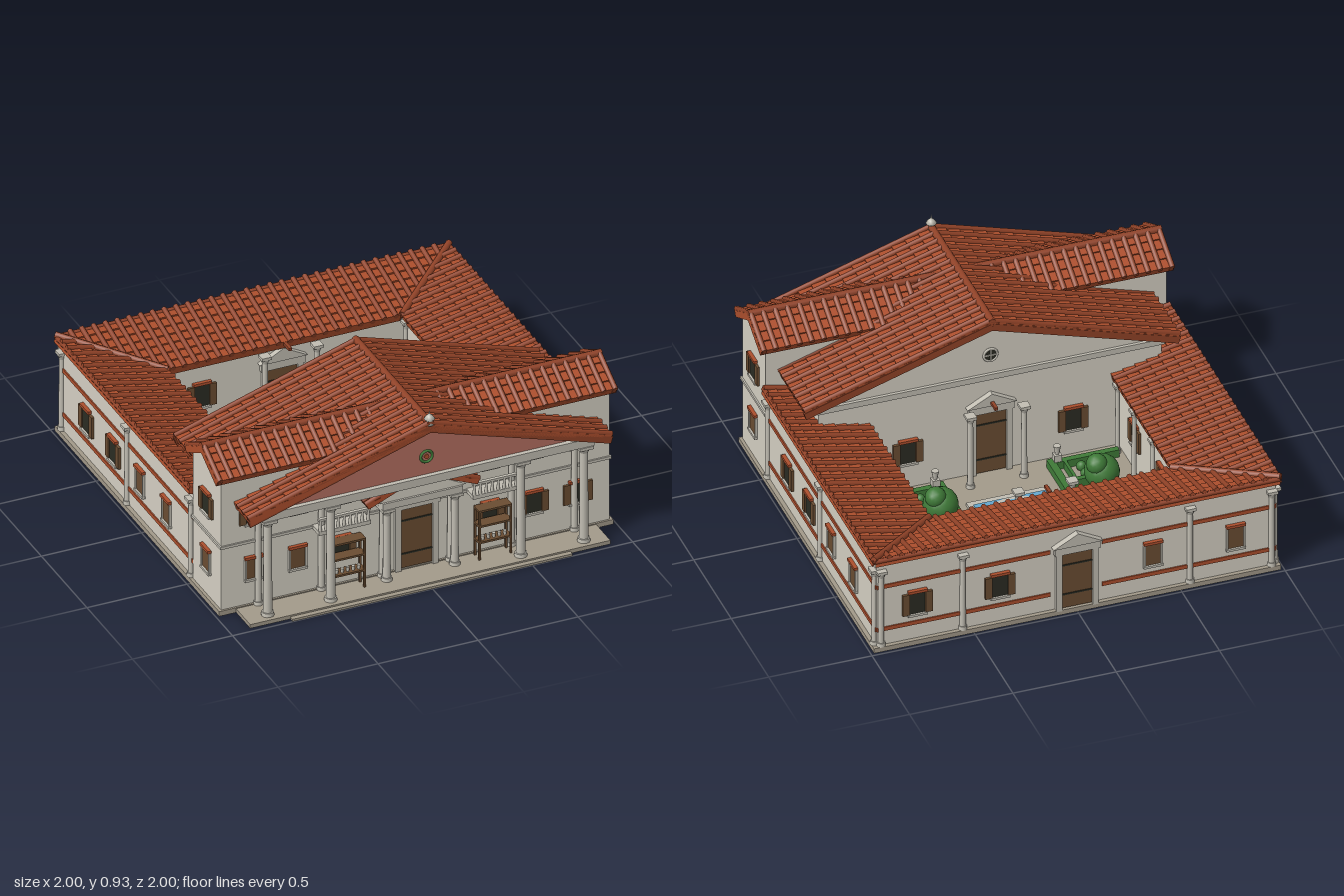
import * as THREE from 'three';

const mat = (name, color, side = THREE.FrontSide) => {
  const m = new THREE.MeshStandardMaterial({ color, side });
  m.name = name;
  return m;
};
const wall = mat('limewash', 0xd6d1c4), stone = mat('stone', 0xc2beb3), paving = mat('paving', 0xa39a8a);
const tile = mat('roof tile', 0xad4f2d), tileDark = mat('cover tile', 0x924328), plaster = mat('red plaster', 0xb57062);
const wood = mat('wood', 0x6b4d32), dark = mat('dark opening', 0x2b2c23), green = mat('greenery', 0x3f7a38), water = mat('water', 0x66a8cf);

function add(parent, name, geo, material, x = 0, y = 0, z = 0) {
  const m = new THREE.Mesh(geo, material);
  m.name = name;
  m.position.set(x, y, z);
  parent.add(m);
  return m;
}
// Box given by its extents on each axis
const box = (p, name, m, x0, x1, y0, y1, z0, z1) =>
  add(p, name, new THREE.BoxGeometry(x1 - x0, y1 - y0, z1 - z0), m, (x0 + x1) / 2, (y0 + y1) / 2, (z0 + z1) / 2);
// Polygon in x, y extruded along z from z0 to z1
function prism(pts, z0, z1) {
  const s = new THREE.Shape(pts.map(p => new THREE.Vector2(...p)));
  return new THREE.ExtrudeGeometry(s, { depth: z1 - z0, bevelEnabled: false }).translate(0, 0, z0);
}
function rod(p, name, m, a, b, r) {
  const A = new THREE.Vector3(...a), B = new THREE.Vector3(...b), d = B.clone().sub(A);
  const o = add(p, name, new THREE.CylinderGeometry(r, r, d.length(), 8), m);
  o.position.copy(A).add(B).multiplyScalar(0.5);
  o.quaternion.setFromUnitVectors(new THREE.Vector3(0, 1, 0), d.normalize());
}
function group(p, name, x = 0, y = 0, z = 0, ry = 0) {
  const g = new THREE.Group();
  g.name = name;
  g.position.set(x, y, z);
  g.rotation.y = ry;
  p.add(g);
  return g;
}

// Tiled slope: top = middle of the upper edge, fall = vector down the slope; mA and mB mitre the ends
function slope(p, name, top, fall, L, mA = 0, mB = 0, courses = 7, thick = 0.03) {
  const v = new THREE.Vector3(...fall), S = v.length();
  const Z = v.clone().normalize(), X = new THREE.Vector3(0, 1, 0).cross(Z).normalize(), Y = Z.clone().cross(X);
  const g = group(p, name);
  g.quaternion.setFromRotationMatrix(new THREE.Matrix4().makeBasis(X, Y, Z));
  g.position.set(...top);
  const pts = [[0, -thick]];
  pts.push([S, -thick]);
  for (let i = courses; i > 0; i--) pts.push([S * i / courses, 0.009], [S * (i - 1) / courses + 0.0005, 0]);
  const geo = prism(pts, 0, L).rotateY(-Math.PI / 2).translate(L / 2, 0, 0);
  const a = geo.attributes.position;
  for (let i = 0; i < a.count; i++) {
    const x = a.getX(i), k = a.getZ(i) / S;
    a.setX(i, x < 0 ? x + mA * k : x - mB * k);
  }
  geo.computeVertexNormals();
  add(g, 'tile courses', geo, tile);
  const n = Math.round(L / 0.059);
  for (let i = 0; i <= n; i++) {
    const u = -L / 2 + 0.012 + (L - 0.024) * i / n;
    const len = S * Math.min(1, mA ? (u + L / 2) / mA : 1, mB ? (L / 2 - u) / mB : 1);
    if (len > 0.02) add(g, 'cover tile', new THREE.CylinderGeometry(0.013, 0.013, len + 0.006, 7).rotateX(Math.PI / 2), tileDark, u, 0.007, len / 2);
  }
}

function column(p, x, z, y0, y1, r) {
  const g = group(p, 'column', x, 0, z), h = y1 - y0;
  add(g, 'shaft', new THREE.CylinderGeometry(r * 0.85, r, h, 12), stone, 0, (y0 + y1) / 2, 0);
  add(g, 'base', new THREE.CylinderGeometry(r * 1.3, r * 1.4, 0.02, 12), stone, 0, y0 + 0.01, 0);
  add(g, 'capital', new THREE.CylinderGeometry(r * 1.5, r * 0.9, 0.025, 12), stone, 0, y1 - 0.027, 0);
  box(g, 'abacus', stone, -r * 1.6, r * 1.6, y1 - 0.015, y1, -r * 1.6, r * 1.6);
}

// Window on a wall facing local +z; open ones have a dark recess and shutters
function windowAt(p, x, y, z, ry, open, h = 0.115) {
  const g = group(p, 'window', x, y, z, ry);
  box(g, 'pane', open ? dark : wood, -0.037, 0.037, 0, h, -0.004, 0.004);
  box(g, 'sill', stone, -0.047, 0.047, -0.012, 0, -0.004, 0.014);
  box(g, 'lintel', tile, -0.046, 0.046, h, h + 0.014, -0.004, 0.016);
  for (const s of [-1, 1]) {
    const c = s * (open ? 0.055 : 0.041), w = open ? 0.017 : 0.004;
    box(g, open ? 'shutter' : 'jamb', open ? wood : stone, c - w, c + w, -0.002, h - 0.004, -0.004, 0.01);
  }
}

function doorAt(p, x, z, ry, w, h, roofed) {
  const g = group(p, 'door', x, 0, z, ry);
  box(g, 'door leaf', wood, -w, w, 0.03, h, -0.01, 0.008);
  for (const y of [0.1, h - 0.07]) box(g, 'iron band', dark, -w, w, y, y + 0.008, 0, 0.011);
  for (const s of [-1, 1]) box(g, 'door jamb', stone, s * (w + 0.013) - 0.014, s * (w + 0.013) + 0.014, 0.02, h + 0.02, -0.01, 0.018);
  box(g, 'door lintel', stone, -w - 0.035, w + 0.035, h, h + 0.04, -0.01, 0.022);
  if (roofed) add(g, 'door pediment', prism([[-w - 0.045, 0], [w + 0.045, 0], [0, 0.065]], -0.01, 0.028), stone, 0, h + 0.04, 0);
}

export function createModel() {
  const root = new THREE.Group();
  root.name = 'courtyard villa';
  const PI = Math.PI, sides = [-1, 1];

  // Base, porch floor and step
  box(root, 'base', paving, -0.985, 0.985, 0, 0.025, -0.985, 0.82);
  box(root, 'porch floor', paving, -0.9, 0.9, 0, 0.02, 0.82, 0.975);
  box(root, 'front step', paving, -0.7, 0.7, 0, 0.012, 0.97, 1);

  // Low wings round the courtyard
  const wing = a => [[a, 0], [0.965, 0], [0.965, 0.47], [a, 0.385]];
  add(root, 'right wing', prism(wing(0.62), -0.965, 0.5), wall);
  add(root, 'left wing', prism(wing(0.62).map(([x, y]) => [-x, y]), -0.965, 0.5), wall);
  add(root, 'back wing', prism(wing(0.66), -0.965, 0.965).rotateY(PI / 2), wall);
  for (const s of sides) {
    slope(root, 'side wing roof', [s * 0.985, 0.505, -0.24], [-s * 0.4, -0.09, 0], 1.48, s > 0 ? 0.36 : 0, s < 0 ? 0.36 : 0);
    rod(root, 'valley tiles', tileDark, [s * 0.985, 0.512, -0.98], [s * 0.585, 0.425, -0.62], 0.016);
    rod(root, 'eave roll', tileDark, [s * 0.98, 0.5, -0.98], [s * 0.98, 0.5, 0.5], 0.012);
    // Stripes, pilasters and windows along the side
    for (const y of [0.102, 0.335]) box(root, 'side stripe', tile, s * 0.967 - 0.004, s * 0.967 + 0.004, y, y + 0.02, -0.965, 0.5);
    for (const z of [0.475, -0.225, -0.945]) column(root, s * 0.968, z, 0.025, 0.44, 0.015);
    [0.21, -0.08, -0.375, -0.67].forEach((z, i) => windowAt(root, s * 0.968, 0.165, z, s * PI / 2, s > 0 ? i < 2 : i > 1));
    for (const z of [-0.42, -0.05]) windowAt(root, s * 0.618, 0.165, z, -s * PI / 2, true);
    for (const z of [-0.6, -0.35, -0.1, 0.12]) column(root, s * 0.595, z, 0.025, 0.4, 0.012);
  }
  slope(root, 'back wing roof', [0, 0.505, -0.985], [0, -0.09, 0.36], 1.96, 0.4, 0.4);
  rod(root, 'back eave roll', tileDark, [-0.98, 0.5, -0.98], [0.98, 0.5, -0.98], 0.012);
  for (const y of [0.102, 0.335]) for (const s of sides)
    box(root, 'back stripe', tile, s * 0.545 - 0.42, s * 0.545 + 0.42, y, y + 0.02, -0.971, -0.963);
  for (const x of [-0.945, -0.55, 0.55, 0.945]) column(root, x, -0.968, 0.025, 0.44, 0.015);
  for (const x of [-0.77, -0.37, 0.37, 0.77]) windowAt(root, x, 0.165, -0.968, PI, x > 0);
  doorAt(root, 0, -0.968, PI, 0.075, 0.33, true);
  doorAt(root, 0, -0.66, 0, 0.075, 0.28, true);
  for (const x of [-0.4, 0.4]) windowAt(root, x, 0.165, -0.658, 0, true);

  // Tall cross wing with its gable roof
  add(root, 'cross wing', prism([[-0.81, 0], [-0.5, 0], [-0.5, 0.7], [-0.655, 0.785], [-0.81, 0.7]], -0.97, 0.97).rotateY(PI / 2), wall);
  for (const s of sides) slope(root, 'cross wing roof', [0, 0.815, 0.655], [0, -0.095, s * 0.178], 2, 0, 0, 4);
  rod(root, 'cross wing ridge', tileDark, [-1, 0.818, 0.655], [1, 0.818, 0.655], 0.018);
  box(root, 'string course', stone, -0.978, 0.978, 0.348, 0.362, 0.495, 0.818);
  for (const s of sides) {
    windowAt(root, s * 0.972, 0.46, 0.655, s * PI / 2, true, 0.105);
    windowAt(root, s * 0.972, 0.16, 0.655, s * PI / 2, false, 0.105);
    for (const t of sides) {
      const b = box(root, 'gable trim', tileDark, -0.01, 0.01, -0.014, 0.014, -0.1, 0.1);
      b.position.set(s * 0.985, 0.757, 0.655 + t * 0.088);
      b.rotation.x = t * 0.49;
    }
  }

  // Central hall and its broad gable roof
  const gable = [[-0.83, 0], [0.83, 0], [0.83, 0.555], [0, 0.825], [-0.83, 0.555]];
  add(root, 'central hall', prism(gable, 0.18, 0.8), wall);
  box(root, 'rear cornice', stone, -0.84, 0.84, 0.535, 0.565, 0.165, 0.19);
  add(root, 'porch attic', prism([[-0.82, 0.56], [0.82, 0.56], [0, 0.825]], 0.8, 0.925), wall);
  add(root, 'tympanum', prism([[-0.8, 0.57], [0.8, 0.57], [0, 0.825]], 0.925, 0.932), plaster);
  box(root, 'entablature', stone, -0.83, 0.83, 0.53, 0.572, 0.89, 0.955);
  for (const s of sides) {
    box(root, 'side architrave', stone, s * 0.79 - 0.03, s * 0.79 + 0.03, 0.53, 0.572, 0.8, 0.9);
    slope(root, 'hall roof', [0, 0.858, 0.565], [s * 0.905, -0.283, 0], 0.83, 0, 0, 14, 0.032);
    for (const z of [0.158, 0.97]) {
      const f = box(root, 'raking trim', tileDark, -0.475, 0.475, -0.018, 0.018, -0.01, 0.01);
      f.position.set(s * 0.453, 0.694, z);
      f.rotation.z = -s * 0.303;
    }
  }
  rod(root, 'hall ridge', tileDark, [0, 0.862, 0.15], [0, 0.862, 0.98], 0.018);
  const finial = [[0, 0], [0.022, 0], [0.012, 0.015], [0.026, 0.03], [0.014, 0.046], [0.004, 0.055], [0, 0.075]];
  add(root, 'finial', new THREE.LatheGeometry(finial.map(p => new THREE.Vector2(...p)), 10), stone, 0, 0.855, 0.965);
  add(root, 'wreath', new THREE.TorusGeometry(0.029, 0.007, 6, 20), green, 0, 0.667, 0.934);
  add(root, 'wreath centre', new THREE.CylinderGeometry(0.012, 0.012, 0.008, 12).rotateX(PI / 2), tile, 0, 0.667, 0.934);
  add(root, 'rear oculus', new THREE.CylinderGeometry(0.032, 0.032, 0.008, 16).rotateX(PI / 2), dark, 0, 0.667, 0.178);
  add(root, 'oculus ring', new THREE.TorusGeometry(0.033, 0.006, 6, 20), stone, 0, 0.667, 0.175);
  box(root, 'oculus bar', stone, -0.032, 0.032, 0.664, 0.67, 0.17, 0.176);
  box(root, 'oculus post', stone, -0.003, 0.003, 0.635, 0.699, 0.17, 0.176);
  doorAt(root, 0, 0.178, PI, 0.075, 0.36, true);
  for (const x of [-0.4, 0.4]) windowAt(root, x, 0.165, 0.176, PI, true);
  for (const z of [0.125, -0.59]) box(root, 'door ridge', tileDark, -0.008, 0.008, 0.41, 0.425, z - 0.03, z + 0.03);

  // Front windows, columns and door porch
  for (const x of [-0.81, -0.59, -0.37, 0.37, 0.59, 0.81]) {
    windowAt(root, x, 0.16, 0.812, 0, x > -0.4, 0.105);
    windowAt(root, x, 0.455, 0.812, 0, x < 0, 0.095);
  }
  doorAt(root, 0, 0.812, 0, 0.08, 0.345, false);
  box(root, 'door hood', stone, -0.2, 0.2, 0.405, 0.44, 0.8, 0.895);
  add(root, 'porch pediment', prism([[-0.22, 0.44], [0.22, 0.44], [0, 0.55]], 0.8, 0.885), wall);
  for (const s of sides) {
    slope(root, 'porch roof', [0, 0.568, 0.853], [s * 0.28, -0.118, 0], 0.09, 0, 0, 4, 0.02);
    for (const x of [0.79, 0.475]) {
      column(root, s * x, 0.925, 0.018, 0.53, 0.022);
      column(root, s * x, 0.822, 0.018, 0.53, 0.016);
    }
    for (const z of [0.83, 0.87]) column(root, s * 0.17, z, 0.018, 0.405, 0.019);
    // Balcony
    box(root, 'balcony floor', stone, s * 0.385 - 0.13, s * 0.385 + 0.13, 0.345, 0.365, 0.8, 0.885);
    box(root, 'balcony rail', stone, s * 0.385 - 0.13, s * 0.385 + 0.13, 0.418, 0.43, 0.868, 0.885);
    for (let i = 0; i < 9; i++)
      add(root, 'baluster', new THREE.CylinderGeometry(0.006, 0.009, 0.055, 8), stone, s * 0.385 - 0.12 + i * 0.03, 0.391, 0.876);
    // Wooden market rack below the balcony
    const rack = group(root, 'rack', s * 0.365, 0, 0.86);
    for (const x of [-0.078, 0.078]) for (const z of [-0.025, 0.025]) box(rack, 'rack post', wood, x - 0.005, x + 0.005, 0.02, 0.28, z - 0.005, z + 0.005);
    for (const y of [0.105, 0.19, 0.27]) box(rack, 'rack shelf', wood, -0.083, 0.083, y, y + 0.01, -0.03, 0.03);
    for (let i = 0; i < 5; i++) add(rack, 'jar', new THREE.CylinderGeometry(0.009, 0.007, 0.022, 8), stone, -0.055 + i * 0.0275, 0.126, 0.01);
  }

  // Courtyard pool
  box(root, 'pool rim', stone, -0.2, 0.2, 0.02, 0.042, -0.435, -0.05);
  box(root, 'pool water', water, -0.176, 0.176, 0.04, 0.046, -0.405, -0.08);
  const ring = (name, r, t, x, z, sx = 1) => add(root, name, new THREE.RingGeometry(r, r + t, 32).rotateX(-PI / 2).scale(sx, 1, 1), stone, x, 0.049, z);
  ring('pool circle', 0.138, 0.018, 0, -0.24);
  ring('pool inner oval', 0.1, 0.008, 0, -0.24, 0.45);
  for (const z of [-0.31, -0.24, -0.17]) ring('pool loop', 0.03, 0.005, 0, z);

  // Pillars, statues and gardens, mirrored
  for (const s of sides) {
    for (const z of [-0.555, 0.085]) column(root, s * 0.13, z, 0.025, 0.42, 0.015);
    for (const [x, z] of [[0.28, -0.49], [0.295, 0.1]]) {
      box(root, 'pedestal', stone, s * x - 0.018, s * x + 0.018, 0.02, 0.1, z - 0.018, z + 0.018);
      add(root, 'urn', new THREE.CylinderGeometry(0.018, 0.009, 0.045, 10), stone, s * x, 0.122, z);
    }
    // Hedges as x0, x1, z0, z1
    const hedges = [[0.25, 0.285, -0.6, 0.12], [0.32, 0.335, -0.6, -0.42], [0.32, 0.335, -0.08, 0.1], [0.285, 0.59, -0.565, -0.545],
      [0.285, 0.52, -0.445, -0.42], [0.285, 0.52, -0.08, -0.055], [0.285, 0.59, 0.08, 0.11], [0.505, 0.525, -0.56, -0.42], [0.505, 0.525, -0.08, 0.06]];
    for (const [a, b, c, d] of hedges) box(root, 'hedge', green, Math.min(s * a, s * b), Math.max(s * a, s * b), 0.02, 0.065, c, d);
    for (const [x, z] of [[0.36, -0.5], [0.45, -0.5], [0.36, -0.34], [0.46, -0.34], [0.39, -0.02], [0.46, 0.01], [0.39, 0.04]])
      add(root, 'bush', new THREE.IcosahedronGeometry(0.025, 1), green, s * x, 0.05, z);
    add(root, 'tree trunk', new THREE.CylinderGeometry(0.012, 0.018, 0.15, 8), wood, s * 0.39, 0.09, -0.235);
    add(root, 'tree crown', new THREE.IcosahedronGeometry(0.083, 2), green, s * 0.39, 0.2, -0.235);
    add(root, 'tree top', new THREE.IcosahedronGeometry(0.05, 2), green, s * 0.39 + 0.03, 0.255, -0.25);
  }
  return root;
}
